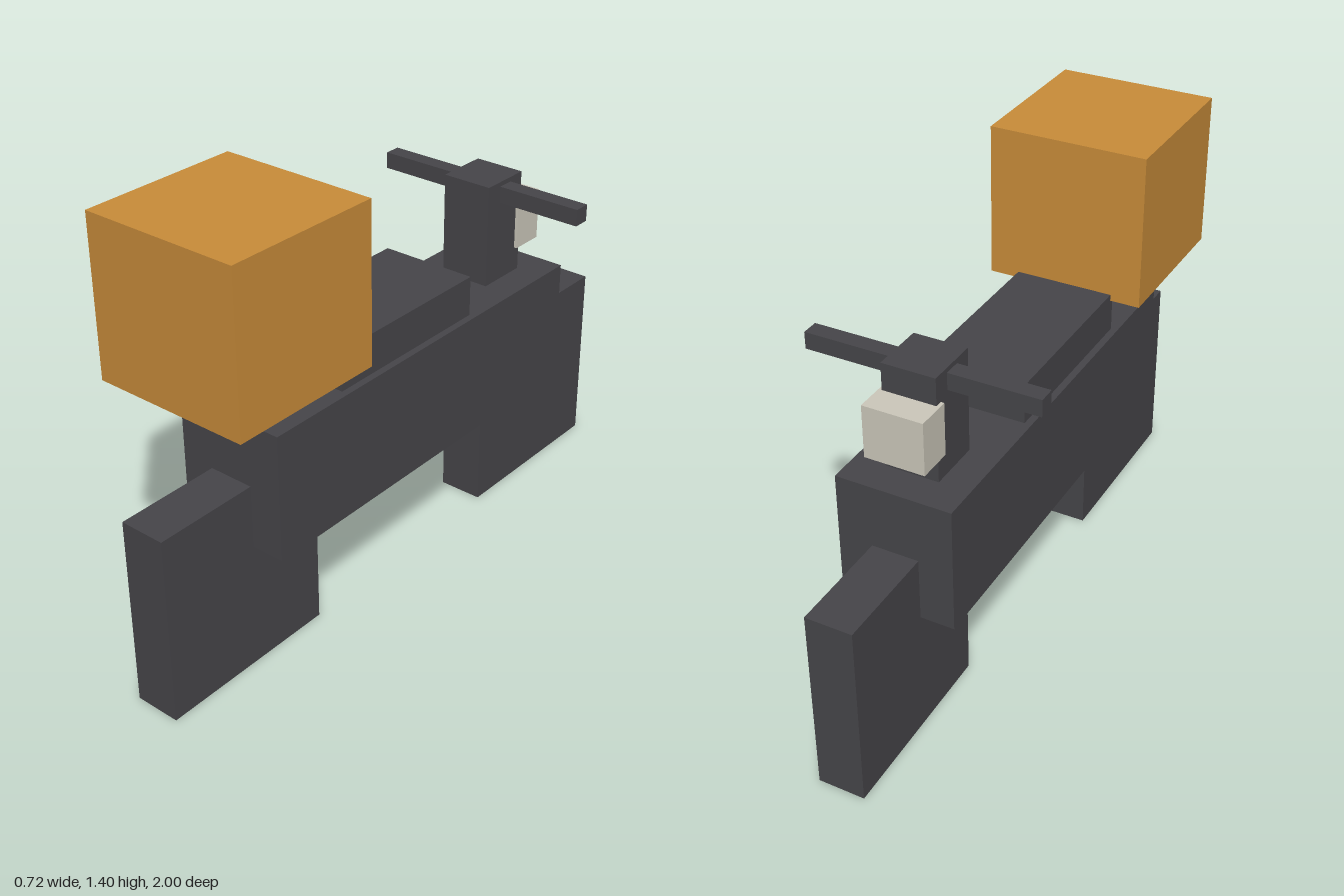
import * as THREE from 'three';

export function createModel() {
  const model = new THREE.Group();
  model.name = 'deliveryScooter';

  const mat = (name, color) => {
    const m = new THREE.MeshStandardMaterial({ color });
    m.name = name;
    return m;
  };
  const charcoal = mat('charcoal', 0x47464a);
  const orange = mat('orange', 0xca8d3a);
  const cream = mat('cream', 0xcdc9bc);

  // Box centred on x = 0, given its width and its y and z ranges
  const box = (name, material, width, [y0, y1], [z0, z1]) => {
    const mesh = new THREE.Mesh(new THREE.BoxGeometry(width, y1 - y0, z1 - z0), material);
    mesh.name = name;
    mesh.position.set(0, (y0 + y1) / 2, (z0 + z1) / 2);
    model.add(mesh);
  };

  // Blocky wheels at both ends
  box('cargoEndWheel', charcoal, 0.146, [0, 0.6], [0.403, 1]);
  box('steeringEndWheel', charcoal, 0.146, [0, 0.6], [-1, -0.403]);

  // Body and seat
  box('body', charcoal, 0.36, [0.4, 0.8], [-0.667, 0.667]);
  box('seat', charcoal, 0.316, [0.8, 0.927], [-0.207, 0.38]);

  // Steering column, handlebar and lamp
  box('steeringColumn', charcoal, 0.166, [0.8, 1.13], [-0.563, -0.393]);
  box('handlebar', charcoal, 0.72, [1.062, 1.115], [-0.505, -0.452]);
  box('headlamp', cream, 0.186, [0.88, 1.045], [-0.65, -0.54]);

  // Cargo box
  box('cargoBox', orange, 0.506, [0.907, 1.397], [0.365, 0.873]);

  return model;
}
